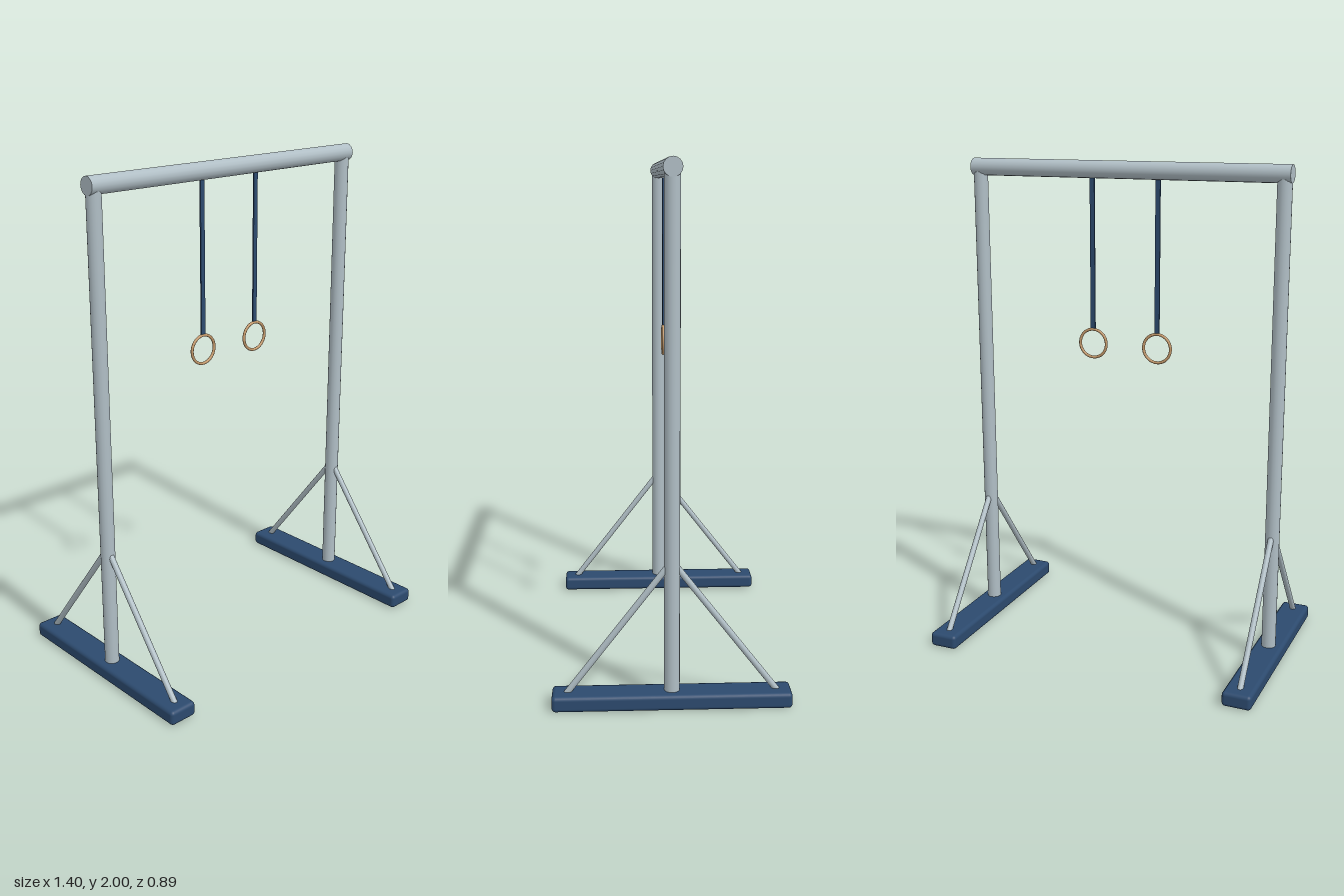
import * as THREE from 'three';
import { RoundedBoxGeometry } from 'three/addons/geometries/RoundedBoxGeometry.js';

const material = (name, color) => {
  const m = new THREE.MeshStandardMaterial({ color });
  m.name = name;
  return m;
};

export function createModel() {
  const steel = material('steel grey', 0xb0bec5);
  const navy = material('navy', 0x2c4a6e);
  const wood = material('wood', 0xc49a6c);

  const model = new THREE.Group();
  model.name = 'gymnasticRingFrame';

  const add = (name, geometry, mat, parent = model) => {
    const mesh = new THREE.Mesh(geometry, mat);
    mesh.name = name;
    parent.add(mesh);
    return mesh;
  };

  // Round bar between two points
  const bar = (name, from, to, radius, parent) => {
    const a = new THREE.Vector3(...from);
    const b = new THREE.Vector3(...to);
    const dir = b.clone().sub(a);
    const mesh = add(name, new THREE.CylinderGeometry(radius, radius, dir.length(), 16), steel, parent);
    mesh.position.copy(a).add(b).multiplyScalar(0.5);
    mesh.quaternion.setFromUnitVectors(new THREE.Vector3(0, 1, 0), dir.normalize());
    return mesh;
  };

  // Top beam
  bar('topBeam', [-0.672, 1.965, 0], [0.672, 1.965, 0], 0.035, model);

  for (const [side, s] of [['left', 1], ['right', -1]]) {
    // Foot, post and two diagonal braces
    const stand = new THREE.Group();
    stand.name = side + 'Stand';
    stand.position.x = s * 0.643;
    model.add(stand);
    add('foot', new RoundedBoxGeometry(0.118, 0.06, 0.892, 3, 0.015), navy, stand).position.y = 0.03;
    bar('post', [0, 0.05, 0], [0, 1.965, 0], 0.029, stand);
    bar('frontBrace', [0, 0.05, 0.394], [0, 0.56, 0], 0.012, stand);
    bar('backBrace', [0, 0.05, -0.394], [0, 0.56, 0], 0.012, stand);

    // Hanging strap and ring
    const hanger = new THREE.Group();
    hanger.name = side + 'Hanger';
    hanger.position.x = s * 0.14;
    model.add(hanger);
    add('strap', new THREE.BoxGeometry(0.02, 0.62, 0.006), navy, hanger).position.y = 1.635;
    add('ring', new THREE.TorusGeometry(0.058, 0.006, 10, 40), wood, hanger).position.y = 1.265;
  }

  return model;
}
